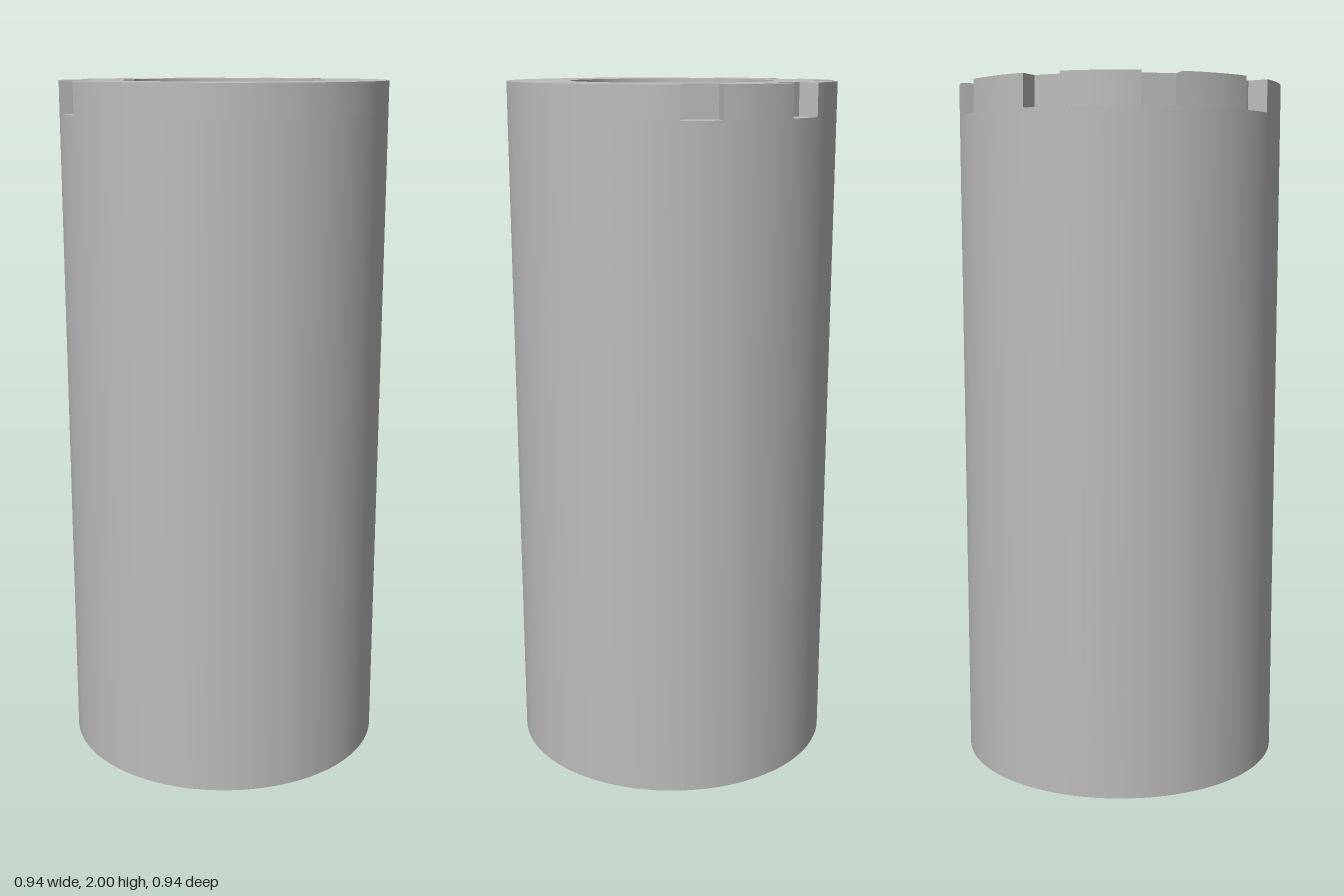
import * as THREE from 'three';
import { toCreasedNormals } from 'three/addons/utils/BufferGeometryUtils.js';

const OUTER = 0.47, BORE = 0.29, HEIGHT = 2;
const NOTCH_FLOOR = 1.91, NOTCH_INNER = 0.405, NOTCH_HALF = 0.056;
const NOTCH_ANGLES = [0, 40, 80, 120, 160].map(THREE.MathUtils.degToRad);
const SEGMENTS = 120;

const polar = (r, a) => new THREE.Vector2(r * Math.cos(a), r * Math.sin(a));
const arc = (r, from, to) => {
  const n = Math.max(1, Math.round((to - from) / (Math.PI * 2) * SEGMENTS));
  return Array.from({ length: n + 1 }, (_, i) => polar(r, from + (to - from) * i / n));
};
const circle = (r) => arc(r, 0, Math.PI * 2).slice(0, -1);

// Outer outline with square slots cut in from the rim
function notchedOutline() {
  const half = Math.asin(NOTCH_HALF / OUTER);
  const points = [];
  NOTCH_ANGLES.forEach((a, i) => {
    const next = NOTCH_ANGLES[i + 1] ?? NOTCH_ANGLES[0] + Math.PI * 2;
    for (const side of [-NOTCH_HALF, NOTCH_HALF]) {
      points.push(new THREE.Vector2(NOTCH_INNER, side).rotateAround(new THREE.Vector2(), a));
    }
    points.push(...arc(OUTER, a + half, next - half));
  });
  return points;
}

// Upright ring: an outline with the round bore through it
function ring(name, outline, bottom, top, material) {
  const shape = new THREE.Shape(outline);
  shape.holes.push(new THREE.Path(circle(BORE)));
  const extruded = new THREE.ExtrudeGeometry(shape, { depth: top - bottom, bevelEnabled: false });
  extruded.rotateX(-Math.PI / 2);
  const mesh = new THREE.Mesh(toCreasedNormals(extruded, Math.PI / 6), material);
  mesh.name = name;
  mesh.position.y = bottom;
  return mesh;
}

export function createModel() {
  const group = new THREE.Group();
  group.name = 'notchedSleeve';
  const steel = new THREE.MeshStandardMaterial({ color: 0xbcbcbc });
  steel.name = 'steel grey';

  group.add(
    ring('tubeBody', circle(OUTER), 0, NOTCH_FLOOR, steel),
    ring('notchedRim', notchedOutline(), NOTCH_FLOOR, HEIGHT, steel),
  );
  return group;
}
